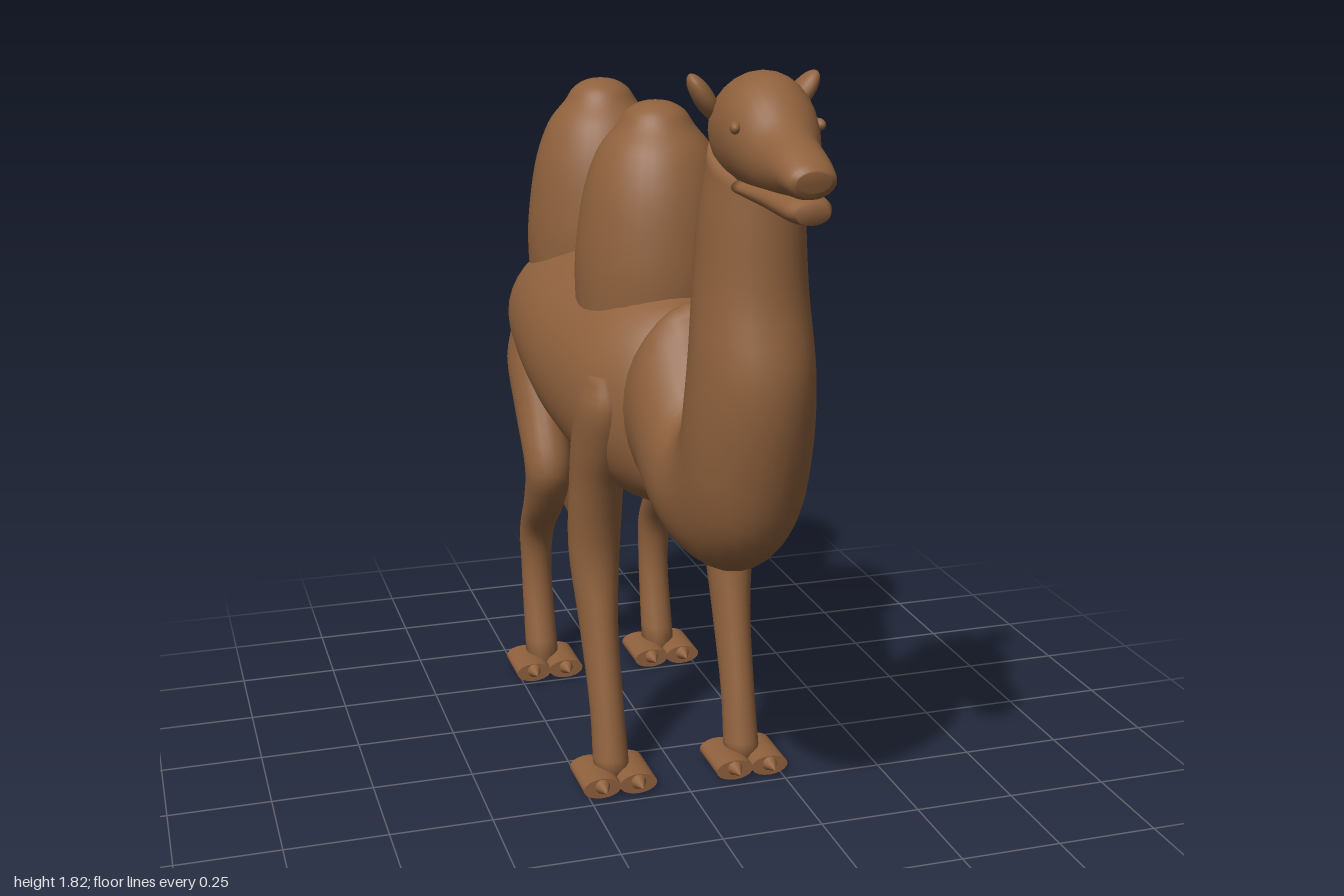
import * as THREE from 'three';

const hide = new THREE.MeshStandardMaterial({ color: 0x8f613d });
hide.name = 'brown hide';

// Smooth loft through elliptical rings. Each row holds two opposite profile
// points in the side plane, the half width and the sideways offset:
// [zA, yA, zB, yB, halfWidth, x]
function loft(rows, sides = 28, perRow = 4) {
  const v3 = (f) => new THREE.CatmullRomCurve3(rows.map(f));
  const a = v3((r) => new THREE.Vector3(r[5] || 0, r[1], r[0]));
  const b = v3((r) => new THREE.Vector3(r[5] || 0, r[3], r[2]));
  const w = new THREE.SplineCurve(rows.map((r, i) => new THREE.Vector2(i, r[4])));
  const n = (rows.length - 1) * perRow;
  const pos = [], idx = [];
  for (let i = 0; i <= n; i++) {
    const A = a.getPoint(i / n), B = b.getPoint(i / n), hw = w.getPoint(i / n).y;
    const c = A.clone().add(B).multiplyScalar(0.5), h = A.clone().sub(c);
    for (let j = 0; j < sides; j++) {
      const t = (j / sides) * Math.PI * 2, s = Math.sin(t);
      pos.push(c.x + Math.cos(t) * hw, c.y + h.y * s, c.z + h.z * s);
      if (i < n) {
        const k = (j + 1) % sides, p = i * sides, q = p + sides;
        idx.push(p + j, p + k, q + j, p + k, q + k, q + j);
      }
    }
  }
  // end caps
  for (const end of [0, n]) {
    const c = a.getPoint(end / n).add(b.getPoint(end / n)).multiplyScalar(0.5);
    const m = pos.length / 3, p = end * sides;
    pos.push(c.x, c.y, c.z);
    for (let j = 0; j < sides; j++) {
      const k = (j + 1) % sides;
      if (end) idx.push(m, p + j, p + k);
      else idx.push(m, p + k, p + j);
    }
  }
  // turn the faces outward whichever way the rows run
  const P = (i) => new THREE.Vector3().fromArray(pos, i * 3);
  let volume = 0;
  for (let i = 0; i < idx.length; i += 3) volume += P(idx[i]).dot(P(idx[i + 1]).cross(P(idx[i + 2])));
  if (volume < 0) idx.reverse();
  const g = new THREE.BufferGeometry();
  g.setAttribute('position', new THREE.Float32BufferAttribute(pos, 3));
  g.setIndex(idx);
  g.computeVertexNormals();
  return g;
}

function lathe(points) {
  const curve = new THREE.SplineCurve(points.map((p) => new THREE.Vector2(...p)));
  const pts = curve.getPoints(32).map((p) => p.setX(Math.max(p.x, 0)));
  return new THREE.LatheGeometry(pts, 36);
}

export function createModel() {
  const model = new THREE.Group();
  model.name = 'camel';
  const add = (name, geometry, x = 0, y = 0, z = 0, parent = model) => {
    const mesh = new THREE.Mesh(geometry, hide);
    mesh.name = name;
    mesh.position.set(x, y, z);
    parent.add(mesh);
    return mesh;
  };

  add('body', loft([
    [0.25, 1.12, 0.25, 0.80, 0.12],
    [0.22, 1.20, 0.22, 0.75, 0.17],
    [0.12, 1.25, 0.12, 0.72, 0.235],
    [0, 1.27, 0, 0.72, 0.265],
    [-0.2, 1.275, -0.2, 0.755, 0.283],
    [-0.4, 1.275, -0.4, 0.80, 0.275],
    [-0.6, 1.26, -0.6, 0.84, 0.25],
    [-0.72, 1.21, -0.72, 0.85, 0.20],
    [-0.79, 1.13, -0.79, 0.87, 0.12],
    [-0.815, 1.03, -0.815, 0.95, 0.04],
  ], 40));

  add('neck', loft([
    [0.20, 1.20, 0.18, 0.78, 0.16],
    [0.30, 1.26, 0.26, 0.745, 0.165],
    [0.38, 1.16, 0.36, 0.70, 0.16],
    [0.45, 1.075, 0.47, 0.69, 0.148],
    [0.475, 1.09, 0.60, 0.715, 0.142],
    [0.49, 1.13, 0.72, 0.81, 0.14],
    [0.50, 1.18, 0.785, 0.98, 0.14],
    [0.495, 1.25, 0.815, 1.18, 0.132],
    [0.50, 1.40, 0.78, 1.35, 0.12],
    [0.515, 1.55, 0.77, 1.5, 0.11],
    [0.55, 1.69, 0.765, 1.60, 0.095],
  ], 32));

  add('head', loft([
    [0.585, 1.73, 0.60, 1.64, 0.05],
    [0.60, 1.785, 0.62, 1.60, 0.085],
    [0.66, 1.815, 0.68, 1.58, 0.1],
    [0.74, 1.82, 0.75, 1.58, 0.1],
    [0.80, 1.79, 0.80, 1.58, 0.088],
    [0.86, 1.735, 0.86, 1.585, 0.068],
    [0.94, 1.70, 0.94, 1.60, 0.058],
    [0.985, 1.675, 0.98, 1.605, 0.05],
    [1.0, 1.66, 0.99, 1.62, 0.035],
  ]));

  add('lowerJaw', loft([
    [0.74, 1.62, 0.74, 1.57, 0.08],
    [0.85, 1.62, 0.85, 1.56, 0.062],
    [0.96, 1.61, 0.96, 1.553, 0.05],
    [0.995, 1.60, 0.99, 1.557, 0.035],
  ]));

  // two humps
  const hump = lathe([
    [0.20, 1.10], [0.208, 1.25], [0.20, 1.36], [0.18, 1.47],
    [0.145, 1.56], [0.10, 1.615], [0.075, 1.65], [0.04, 1.67], [0, 1.676],
  ]);
  for (const [name, z] of [['frontHump', -0.05], ['rearHump', -0.55]]) {
    add(name, hump, 0, 0, z).scale.x = 0.95;
  }

  // tail with tuft
  add('tail', loft([
    [-0.77, 1.10, -0.77, 1.00, 0.035],
    [-0.83, 1.035, -0.81, 0.965, 0.025],
    [-0.89, 0.92, -0.855, 0.90, 0.019],
    [-0.92, 0.78, -0.89, 0.78, 0.016],
    [-0.95, 0.53, -0.92, 0.53, 0.014],
  ], 14));
  add('tailTuft', lathe([
    [0, 0.33], [0.02, 0.37], [0.043, 0.43], [0.052, 0.48],
    [0.045, 0.525], [0.02, 0.545], [0, 0.548],
  ]), 0, 0, -0.947);

  const frontLeg = [
    [0.18, 1.06, 0.06, 1.06, 0.03, 0.19],
    [0.205, 0.98, 0.02, 1.0, 0.055, 0.187],
    [0.165, 0.86, -0.02, 0.9, 0.065, 0.18],
    [0.115, 0.76, -0.04, 0.78, 0.066, 0.178],
    [0.07, 0.58, -0.06, 0.58, 0.064, 0.177],
    [0.095, 0.41, -0.03, 0.38, 0.048, 0.175],
    [0.145, 0.2, 0.05, 0.18, 0.042, 0.173],
    [0.185, 0.03, 0.085, 0.03, 0.045, 0.172],
  ];
  const hindLeg = [
    [-0.58, 1.04, -0.73, 1.02, 0.03, 0.19],
    [-0.53, 0.93, -0.75, 0.90, 0.06, 0.183],
    [-0.455, 0.79, -0.655, 0.78, 0.066, 0.178],
    [-0.40, 0.64, -0.54, 0.64, 0.063, 0.177],
    [-0.47, 0.52, -0.60, 0.54, 0.055, 0.175],
    [-0.59, 0.40, -0.69, 0.41, 0.047, 0.174],
    [-0.61, 0.27, -0.70, 0.30, 0.042, 0.173],
    [-0.555, 0.03, -0.655, 0.03, 0.045, 0.172],
  ];
  const toe = new THREE.CylinderGeometry(0.048, 0.048, 0.14, 20);
  toe.rotateX(Math.PI / 2).scale(1, 0.54, 1);
  const claw = new THREE.ConeGeometry(0.02, 0.045, 14);
  claw.rotateX(Math.PI / 2);
  const ear = new THREE.SphereGeometry(1, 16, 12).scale(0.022, 0.06, 0.034);
  const eye = new THREE.SphereGeometry(1, 14, 10).scale(0.012, 0.013, 0.02);

  for (const [label, s] of [['left', 1], ['right', -1]]) {
    // legs and two-toed feet
    for (const [part, rows, footZ] of [['FrontLeg', frontLeg, 0.15], ['HindLeg', hindLeg, -0.582]]) {
      const leg = new THREE.Group();
      leg.name = label + part;
      model.add(leg);
      add('leg', loft(rows.map((r) => [...r.slice(0, 5), r[5] * s]), 22), 0, 0, 0, leg);
      for (const side of [-1, 1]) {
        const x = s * 0.172 + side * 0.046;
        add('toe', toe, x, 0.03, footZ, leg);
        add('claw', claw, x, 0.035, footZ + 0.09, leg);
      }
    }
    // ears and eyes
    add(label + 'Ear', ear, s * 0.104, 1.762, 0.635).rotation.set(0.25, 0, -s * 0.6);
    add(label + 'Eye', eye, s * 0.087, 1.72, 0.785).rotation.y = s * 0.3;
  }
  return model;
}
